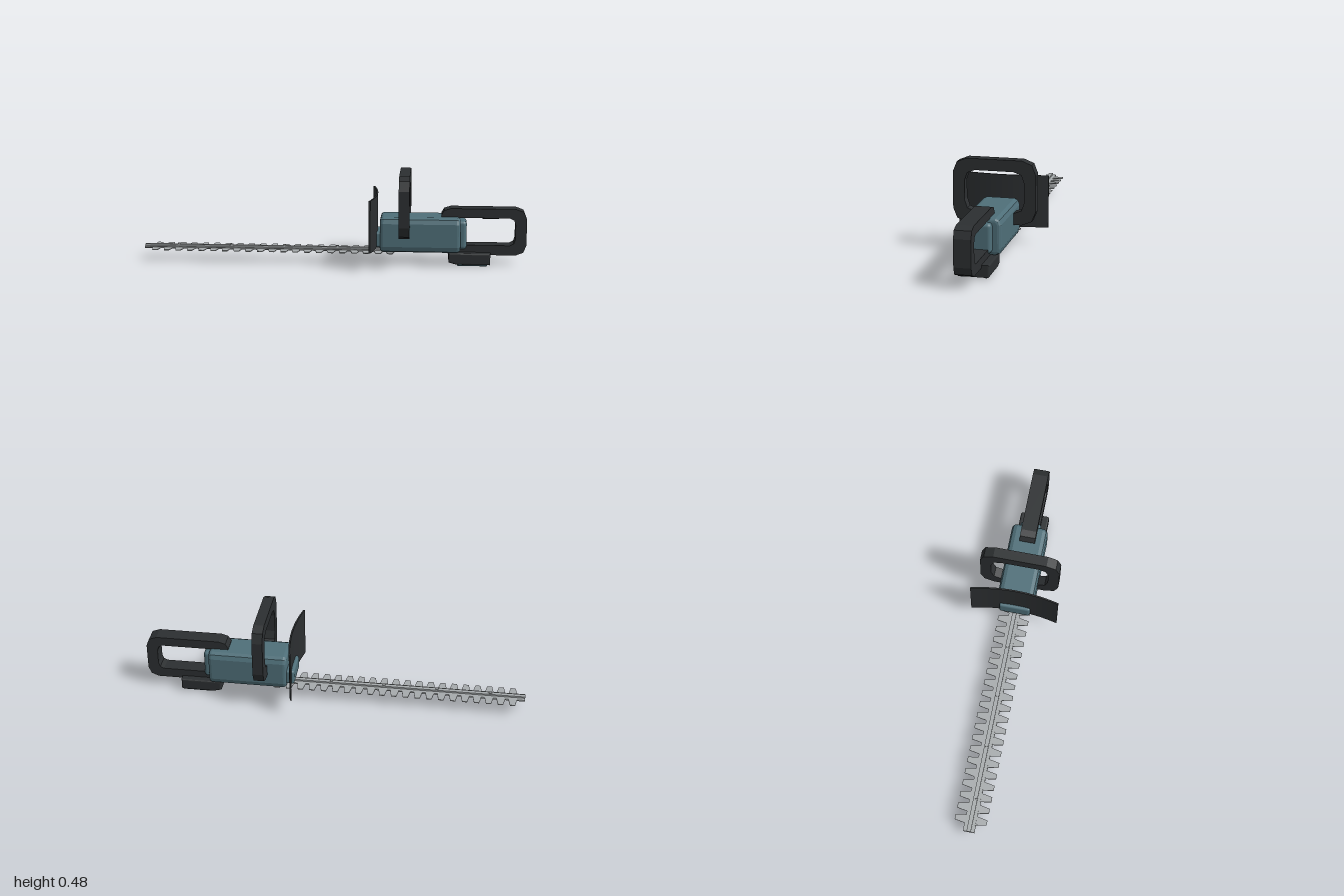
import * as THREE from 'three';
import { RoundedBoxGeometry } from 'three/addons/geometries/RoundedBoxGeometry.js';

const mat = (color) => new THREE.MeshStandardMaterial({ color });
const teal = mat(0x4f6f79), dark = mat(0x2c2f31), steel = mat(0xa6aaac);

export function createModel() {
  const model = new THREE.Group();

  const add = (name, geometry, material, x = 0, y = 0, z = 0) => {
    const mesh = new THREE.Mesh(geometry, material);
    mesh.name = name;
    mesh.position.set(x, y, z);
    model.add(mesh);
    return mesh;
  };
  // Box given by its limits, optionally rounded
  const box = (name, material, [x0, x1], [y0, y1], [z0, z1], r = 0) => {
    const size = [x1 - x0, y1 - y0, z1 - z0];
    const geo = r ? new RoundedBoxGeometry(...size, 3, r) : new THREE.BoxGeometry(...size);
    return add(name, geo, material, (x0 + x1) / 2, (y0 + y1) / 2, (z0 + z1) / 2);
  };
  const points = (list) => list.map(([x, y]) => new THREE.Vector2(x, y));
  // Plate extruded evenly about its own plane; outline and hole run in opposite directions
  const plate = (outline, depth, hole, bevel = 0) => {
    const ccw = (pts, wanted) => (THREE.ShapeUtils.isClockWise(pts) === wanted ? pts.reverse() : pts);
    const shape = new THREE.Shape(ccw(points(outline), true));
    if (hole) shape.holes.push(new THREE.Path(ccw(points(hole), false)));
    const flat = depth - 2 * bevel;
    return new THREE.ExtrudeGeometry(shape, {
      depth: flat, bevelEnabled: bevel > 0, bevelThickness: bevel, bevelSize: bevel,
      bevelOffset: -bevel, bevelSegments: 3,
    }).translate(0, 0, -flat / 2);
  };

  // Motor housing: soft-cornered section drawn in z and y, run along x
  const half = [[0.068, 0.07], [0.09, 0.078], [0.098, 0.102], [0.098, 0.222], [0.089, 0.245], [0.07, 0.254]];
  const section = [...half, ...half.map(([z, y]) => [-z, y]).reverse()];
  add('housing', plate(section, 0.415, null, 0.018).rotateY(Math.PI / 2), teal, 0.4525);
  box('rearHousing', teal, [0.6, 0.692], [0.085, 0.235], [-0.056, 0.056], 0.018);
  box('nose', teal, [0.205, 0.3], [0.095, 0.175], [-0.083, 0.083], 0.012);

  // Rear D-handle
  add('rearHandle', plate(
    [[0.56, 0.262], [0.575, 0.287], [0.61, 0.298], [0.945, 0.298], [0.985, 0.283], [1, 0.245],
      [1, 0.11], [0.985, 0.072], [0.945, 0.056], [0.6, 0.056], [0.57, 0.09]],
    0.084,
    [[0.64, 0.25], [0.915, 0.25], [0.935, 0.24], [0.943, 0.215], [0.943, 0.14], [0.935, 0.117],
      [0.915, 0.107], [0.64, 0.107]]), dark);
  box('trigger', dark, [0.77, 0.86], [0.242, 0.26], [-0.02, 0.02], 0.005);

  // Front loop handle, drawn in z and y and turned across the body
  const loop = (quarter, cy) => {
    const top = quarter.map(([z, y]) => [z, cy + y]);
    const topLeft = quarter.map(([z, y]) => [-z, cy + y]).reverse();
    const low = quarter.map(([z, y]) => [-z, cy - y]);
    const lowRight = quarter.map(([z, y]) => [z, cy - y]).reverse();
    return [...top, ...topLeft, ...low, ...lowRight];
  };
  add('frontHandle', plate(
    loop([[0.21, 0.093], [0.19, 0.143], [0.14, 0.163]], 0.317), 0.055,
    loop([[0.152, 0.048], [0.137, 0.09], [0.097, 0.105]], 0.317)).rotateY(Math.PI / 2), dark, 0.372);

  // Curved hand guard
  const bow = (z) => 0.231 - 0.028 * (z / 0.233) ** 2;
  const arc = Array.from({ length: 17 }, (_, i) => -0.233 + (0.466 * i) / 16);
  const guard = plate([
    ...arc.map((z) => [bow(z), -z]),
    ...arc.map((z) => [bow(z) - 0.008, -z]).reverse(),
  ], 0.27);
  add('handGuard', guard.rotateX(-Math.PI / 2), dark, 0, 0.23, 0);

  // Battery with slanted front edge, and its two runners
  add('battery', plate(
    [[0.6, 0.07], [0.6, 0.02], [0.642, 0.009], [0.815, 0.009], [0.815, 0.07]],
    0.158, null, 0.008), dark);
  for (const s of [-1, 1]) {
    box('batteryRunner', teal, [0.645, 0.8], [0.001, 0.018], [s * 0.057 - 0.01, s * 0.057 + 0.01], 0.004);
  }

  // Toothed blades: the upper one cuts towards -z, the lower one towards +z
  const blade = (name, side, y) => {
    const outline = [[-1, -0.027], [-1, 0.03]];
    for (let i = 0; i < 21; i++) {
      const x = -0.936 + i * 0.0617;
      outline.push([x - 0.022, 0.03], [x - 0.02, 0.045], [x - 0.013, 0.083],
        [x + 0.013, 0.083], [x + 0.02, 0.045], [x + 0.022, 0.03]);
    }
    outline.push([0.325, 0.03], [0.325, -0.027]);
    add(name, plate(outline, 0.004).rotateX((side * Math.PI) / 2), steel, 0, y, 0);
  };
  blade('upperBlade', -1, 0.0685);
  blade('lowerBlade', 1, 0.0625);

  // Guide bar between and above the blades, with bolts
  box('guideBar', steel, [-1, 0.325], [0.064, 0.079], [-0.011, 0.011]);
  for (const x of [-0.82, -0.54, -0.26, 0.02]) {
    add('bladeBolt', new THREE.CylinderGeometry(0.008, 0.008, 0.008, 12), steel, x, 0.081, 0);
  }

  return model;
}
